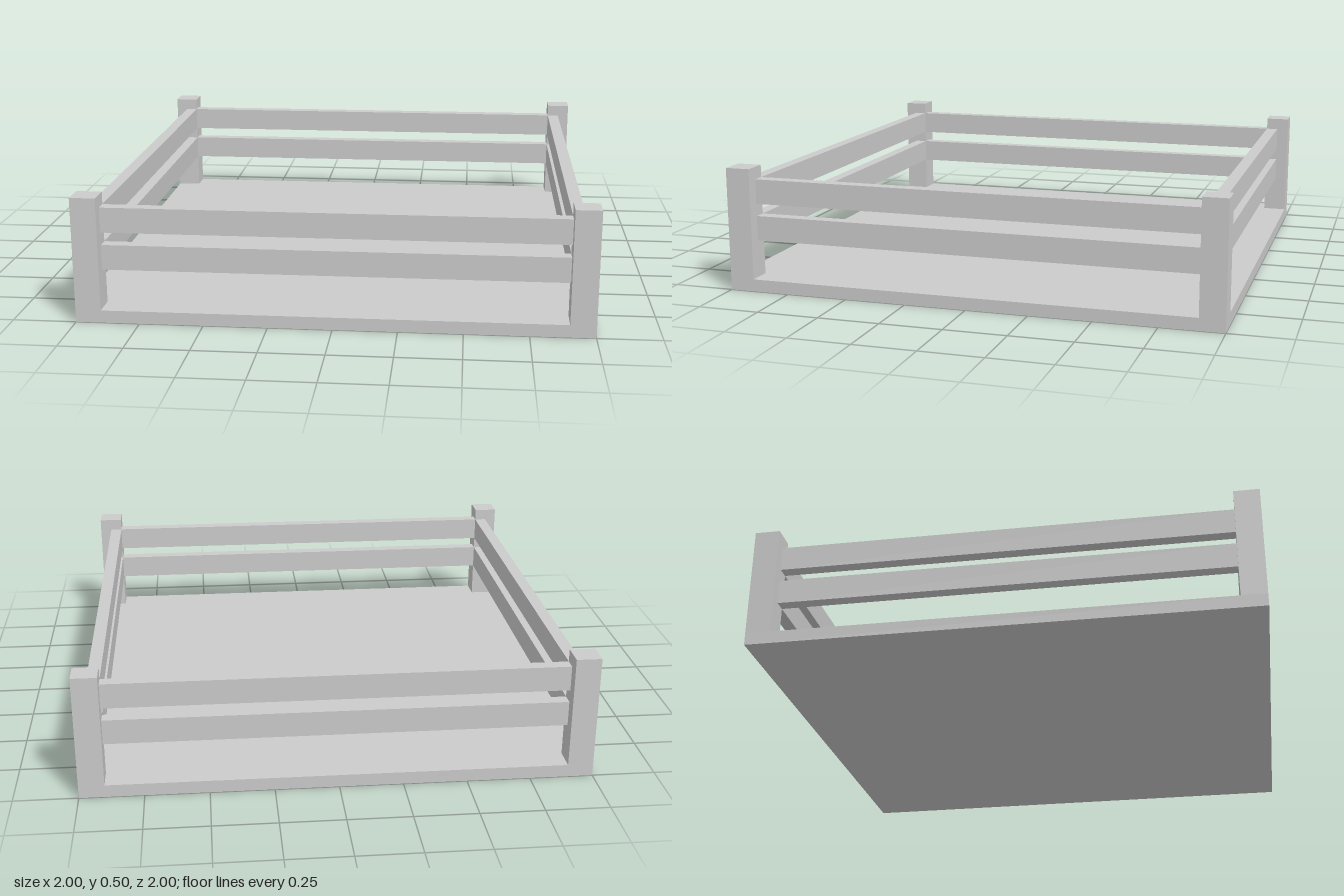
import * as THREE from 'three';

export function createModel() {
  const model = new THREE.Group();
  const material = new THREE.MeshStandardMaterial({ color: 0xcccccc, flatShading: true });

  // Box resting with its underside at height y
  const addBox = (parent, name, w, h, d, x, y, z) => {
    const mesh = new THREE.Mesh(new THREE.BoxGeometry(w, h, d), material);
    mesh.name = name;
    mesh.position.set(x, y + h / 2, z);
    parent.add(mesh);
  };

  // Square floor slab
  addBox(model, 'floor', 2, 0.05, 2, 0, 0, 0);

  // Corner posts standing on the slab
  for (const x of [-0.95, 0.95]) {
    for (const z of [-0.95, 0.95]) addBox(model, 'cornerPost', 0.1, 0.45, 0.1, x, 0.05, z);
  }

  // Two rails per side, set on the inner half of the posts
  ['front', 'left', 'back', 'right'].forEach((side, i) => {
    const fence = new THREE.Group();
    fence.name = side + 'Rails';
    fence.rotation.y = (i * Math.PI) / 2;
    addBox(fence, 'lowerRail', 1.8, 0.1, 0.05, 0, 0.2, 0.925);
    addBox(fence, 'upperRail', 1.8, 0.1, 0.05, 0, 0.35, 0.925);
    model.add(fence);
  });

  return model;
}
